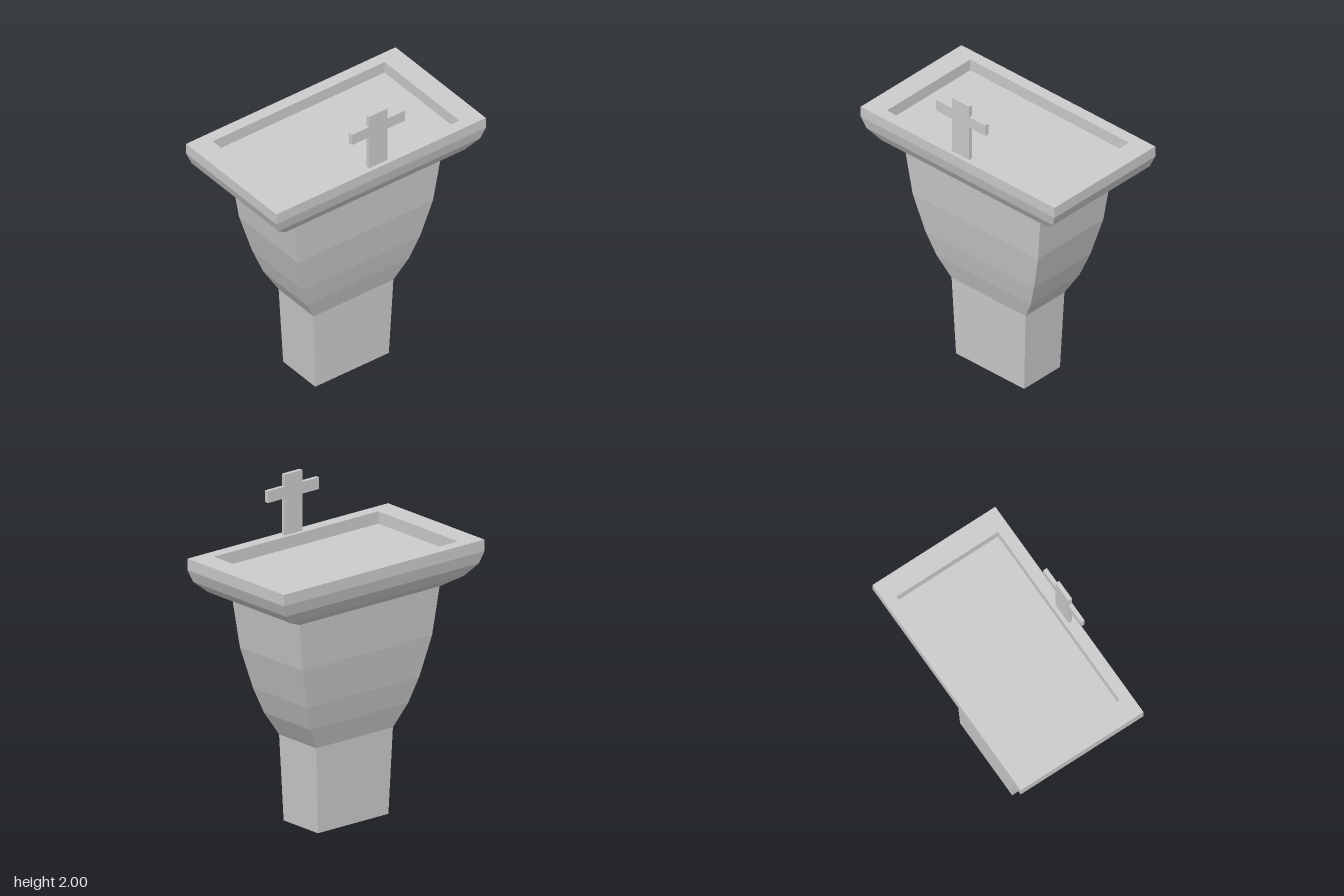
import * as THREE from 'three';

const material = new THREE.MeshStandardMaterial({ color: 0xcccccc, flatShading: true });

function addMesh(group, geometry, name) {
  const mesh = new THREE.Mesh(geometry, material);
  mesh.name = name;
  group.add(mesh);
  return mesh;
}

// Lofts rectangles given as [halfX, y, halfZ], with optional end caps
function loft(sections, capStart = false, capEnd = false) {
  const rings = sections.map(([x, y, z]) =>
    [[1, 1], [1, -1], [-1, -1], [-1, 1]].map(([sx, sz]) => [sx * x, y, sz * z]));
  const positions = [];
  const quad = (a, b, c, d) => positions.push(...a, ...b, ...c, ...a, ...c, ...d);
  for (let i = 0; i < rings.length - 1; i++) {
    for (let j = 0; j < 4; j++) {
      const k = (j + 1) % 4;
      quad(rings[i][j], rings[i][k], rings[i + 1][k], rings[i + 1][j]);
    }
  }
  if (capStart) quad(...[...rings[0]].reverse());
  if (capEnd) quad(...rings[rings.length - 1]);
  const geometry = new THREE.BufferGeometry();
  geometry.setAttribute('position', new THREE.Float32BufferAttribute(positions, 3));
  geometry.computeVertexNormals();
  return geometry;
}

export function createModel() {
  const model = new THREE.Group();
  model.name = 'font';

  // Tapered foot
  addMesh(model, loft([[0.152, 0, 0.267], [0.165, 0.525, 0.29]], true), 'pedestal');

  // Flaring body
  addMesh(model, loft([
    [0.165, 0.525, 0.29], [0.206, 0.665, 0.37], [0.24, 0.82, 0.425],
    [0.277, 1.07, 0.491], [0.298, 1.363, 0.53],
  ]), 'body');

  // Moulded top: underside, outer edge, flat rim, then down into the shallow basin
  addMesh(model, loft([
    [0.298, 1.363, 0.53], [0.368, 1.417, 0.652], [0.41, 1.487, 0.732], [0.427, 1.56, 0.76],
    [0.427, 1.63, 0.76], [0.353, 1.63, 0.623], [0.353, 1.555, 0.623],
  ], false, true), 'basin');

  // Cross standing on the left rim, outlined in the z-y plane
  const half = [[0.067, 1.63], [0.067, 1.855], [0.193, 1.855], [0.193, 1.927], [0.067, 1.927], [0.067, 2]];
  const outline = [...half, ...half.map(([u, v]) => [-u, v]).reverse()];
  const shape = new THREE.Shape(outline.map(([u, v]) => new THREE.Vector2(u, v)));
  const cross = addMesh(model,
    new THREE.ExtrudeGeometry(shape, { depth: 0.025, bevelEnabled: false }), 'cross');
  cross.rotation.y = Math.PI / 2;
  cross.position.x = 0.376;

  return model;
}
